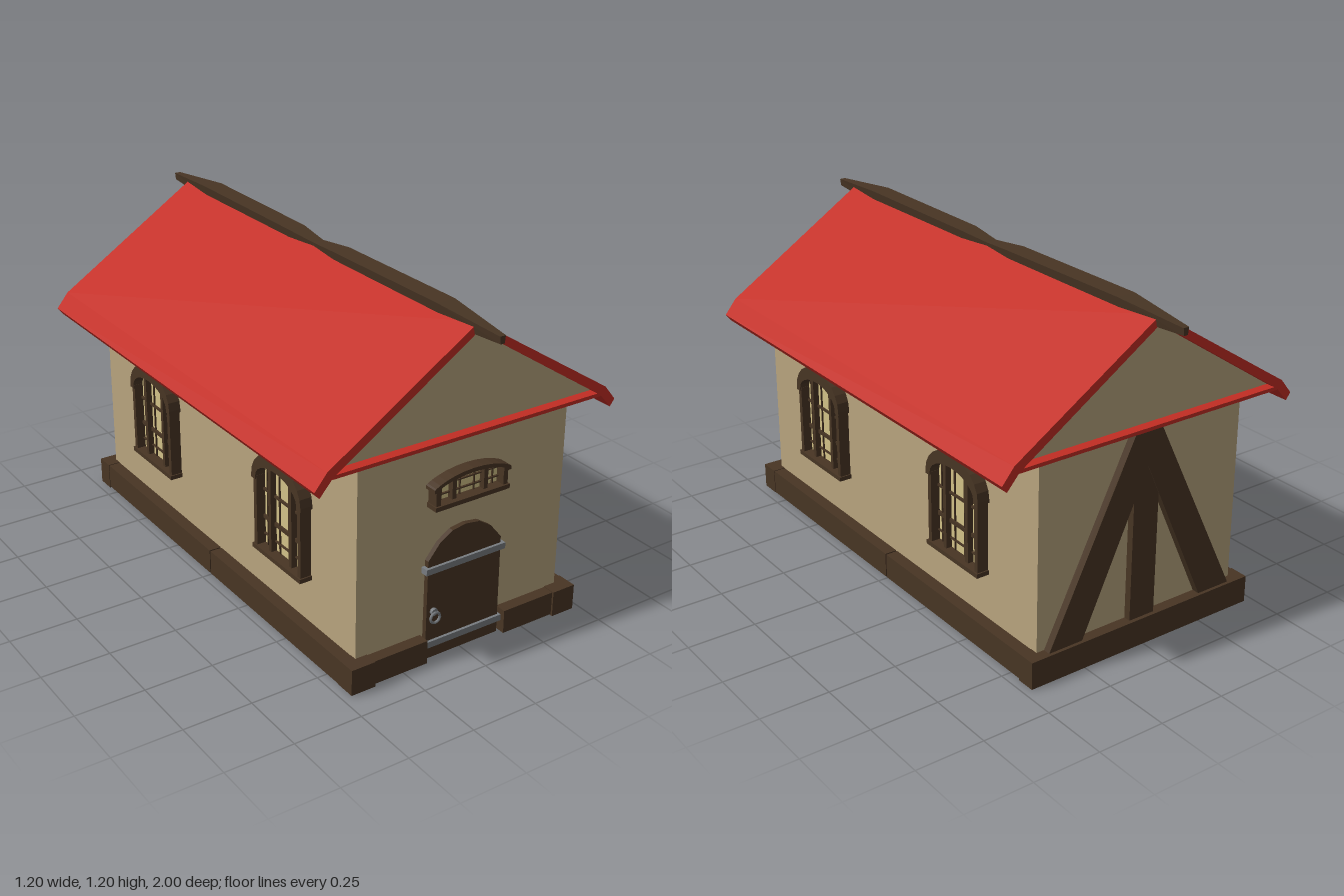
import * as THREE from 'three';

const mat = (name, color) => {
  const m = new THREE.MeshStandardMaterial({ color });
  m.name = name;
  m.side = THREE.DoubleSide;
  return m;
};

export function createModel() {
  const plaster = mat('plaster', 0xb8a47e), red = mat('roofRed', 0xc22d24);
  const wood = mat('darkWood', 0x483524), iron = mat('iron', 0x787c80);
  const glass = mat('windowGlass', 0xd2c288);
  const house = new THREE.Group();
  house.name = 'house';

  const add = (parent, name, geo, material, x = 0, y = 0, z = 0) => {
    const m = new THREE.Mesh(geo, material);
    m.name = name;
    m.position.set(x, y, z);
    parent.add(m);
    return m;
  };
  // box given by its lower and upper corners
  const box = (parent, name, material, x0, x1, y0, y1, z0, z1) =>
    add(parent, name, new THREE.BoxGeometry(x1 - x0, y1 - y0, z1 - z0), material,
      (x0 + x1) / 2, (y0 + y1) / 2, (z0 + z1) / 2);
  // outline in xy pushed from z0 to z1
  const plate = (parent, name, material, pts, z0, z1) => {
    const shape = new THREE.Shape(pts.map(p => new THREE.Vector2(p[0], p[1])));
    return add(parent, name, new THREE.ExtrudeGeometry(shape, { depth: z1 - z0, bevelEnabled: false }), material, 0, 0, z0);
  };

  // Hollow walls, open below
  box(house, 'frontWall', plaster, -0.42, 0.42, 0.02, 0.8, 0.84, 0.85);
  box(house, 'backWall', plaster, -0.42, 0.42, 0.02, 0.8, -0.83, -0.82);
  for (const s of [-1, 1]) {
    const w = box(house, 'sideWall', plaster, -0.005, 0.005, 0.02, 0.8, -0.83, 0.85);
    w.position.x = s * 0.415;
  }
  const gable = [[-0.525, 0.81], [0.525, 0.81], [0, 1.16]];
  plate(house, 'frontGable', plaster, gable, 0.84, 0.85);
  plate(house, 'backGable', plaster, gable, -0.85, -0.84);

  // Roof with flared eaves, and the eave plate closing it
  plate(house, 'roof', red, [
    [0, 1.185], [0.555, 0.828], [0.6, 0.773], [0.582, 0.748], [0.535, 0.802], [0, 1.153],
    [-0.535, 0.802], [-0.582, 0.748], [-0.6, 0.773], [-0.555, 0.828]], -0.885, 0.885);
  box(house, 'eavePlate', red, -0.535, 0.535, 0.798, 0.811, -0.885, 0.885);

  // Ridge beam lofted through sections: z, half width, bottom, top
  const half = [[0, 0.022, 1.145, 1.185], [0.14, 0.036, 1.14, 1.196], [0.72, 0.036, 1.14, 1.2], [1, 0.011, 1.152, 1.178]];
  const sections = [...half.slice(1).reverse().map(([z, ...r]) => [-z, ...r]), ...half];
  const pos = [], idx = [];
  sections.forEach(([z, w, b, t], i) => {
    pos.push(-w * 0.7, b, z, w * 0.7, b, z, w, t, z, -w, t, z);
    if (i) for (let k = 0; k < 4; k++) {
      const a = (i - 1) * 4 + k, c = (i - 1) * 4 + (k + 1) % 4;
      idx.push(a, c, c + 4, a, c + 4, a + 4);
    }
  });
  const e = (sections.length - 1) * 4;
  idx.push(0, 2, 1, 0, 3, 2, e, e + 1, e + 2, e, e + 2, e + 3);
  let ridge = new THREE.BufferGeometry();
  ridge.setAttribute('position', new THREE.Float32BufferAttribute(pos, 3));
  ridge.setIndex(idx);
  ridge = ridge.toNonIndexed();
  ridge.computeVertexNormals();
  add(house, 'ridgeBeam', ridge, wood);

  // Base beams, leaving a gap for the door
  for (const s of [-1, 1]) {
    const side = (name, x0, x1, y0, y1, z0, z1) =>
      box(house, name, wood, Math.min(s * x0, s * x1), Math.max(s * x0, s * x1), y0, y1, z0, z1);
    side('frontBaseBeam', 0.162, 0.38, 0.01, 0.097, 0.83, 0.893);
    side('frontBaseCorner', 0.375, 0.468, 0.005, 0.1, 0.825, 0.9);
    side('sideBaseBeam', 0.395, 0.466, 0.005, 0.098, 0.003, 0.83);
    side('sideBaseBeam', 0.395, 0.466, 0.005, 0.098, -0.8, -0.003);
    side('backBaseBeam', 0, 0.468, 0, 0.1, -0.87, -0.8);
    // Back timber braces
    plate(house, 'backBrace', wood, [[s * 0.055, 0.785], [s * 0.39, 0.1], [s * 0.255, 0.1], [0, 0.66], [0, 0.785]], -0.858, -0.825);
  }
  box(house, 'backPost', wood, -0.052, 0.052, 0.1, 0.75, -0.856, -0.825);

  // Arched windows, built facing +z
  const makeWindow = ({ w, y0, spring, rise, hoodW, hoodRise, power, rails }) => {
    const g = new THREE.Group();
    g.name = 'window';
    const arch = (hw, r, dir) => Array.from({ length: 13 }, (_, i) => {
      const t = -dir * Math.cos(Math.PI * i / 12);
      return [t * hw, spring + r * Math.pow(Math.max(0, 1 - t * t), power)];
    });
    const inner = w - 0.017;
    const topAt = x => spring + rise * Math.pow(1 - (x / inner) ** 2, power);
    plate(g, 'glass', glass, [[-inner, y0], ...arch(inner, rise, 1), [inner, y0]], 0, 0.008);
    plate(g, 'hood', wood, [[-hoodW, spring - 0.012], ...arch(hoodW, hoodRise, 1), [hoodW, spring - 0.012],
      [inner, spring - 0.012], ...arch(inner, rise, -1), [-inner, spring - 0.012]], 0, 0.046);
    for (const s of [-1, 1]) {
      const x = s * (w - 0.009);
      box(g, 'jamb', wood, x - 0.009, x + 0.009, y0, spring, 0, 0.042);
      const m = s * w * 0.44;
      box(g, 'mullion', wood, m - 0.008, m + 0.008, y0, topAt(m), 0, 0.03);
    }
    for (const f of [-0.72, -0.2, 0.2, 0.72])
      box(g, 'glazingBar', wood, f * w - 0.002, f * w + 0.002, y0, topAt(f * w), 0, 0.014);
    for (const [y, h] of rails)
      box(g, 'rail', wood, -inner, inner, y - h, y + h, 0, 0.016);
    box(g, 'sill', wood, -w - 0.005, w + 0.005, y0 - 0.006, y0 + 0.01, 0, 0.048);
    house.add(g);
    return g;
  };
  for (const s of [-1, 1]) for (const z of [0.45, -0.42]) {
    const g = makeWindow({ w: 0.143, y0: 0.272, spring: 0.545, rise: 0.065, hoodW: 0.151, hoodRise: 0.118,
      power: 0.5, rails: [[0.385, 0.007], [0.49, 0.004], [0.32, 0.002]] });
    g.name = 'sideWindow';
    g.rotation.y = s * Math.PI / 2;
    g.position.set(s * 0.42, 0, z);
  }
  const transom = makeWindow({ w: 0.145, y0: 0.58, spring: 0.653, rise: 0.022, hoodW: 0.155, hoodRise: 0.037,
    power: 0.8, rails: [[0.612, 0.002], [0.645, 0.002]] });
  transom.name = 'frontWindow';
  transom.position.z = 0.85;

  // Door with iron straps and ring handle
  plate(house, 'door', wood, [[-0.152, 0.008], [0.152, 0.008], [0.15, 0.38], [0.105, 0.435], [0.055, 0.467],
    [0, 0.475], [-0.055, 0.467], [-0.105, 0.435], [-0.15, 0.38]], 0.84, 0.868);
  box(house, 'upperStrap', iron, -0.163, 0.163, 0.335, 0.357, 0.85, 0.878);
  box(house, 'lowerStrap', iron, -0.16, 0.16, 0.054, 0.077, 0.85, 0.878);
  add(house, 'handlePlate', new THREE.CylinderGeometry(0.013, 0.013, 0.014, 8), iron, -0.125, 0.187, 0.873).rotation.x = Math.PI / 2;
  add(house, 'handleRing', new THREE.TorusGeometry(0.019, 0.005, 6, 12), iron, -0.125, 0.168, 0.882);

  return house;
}
